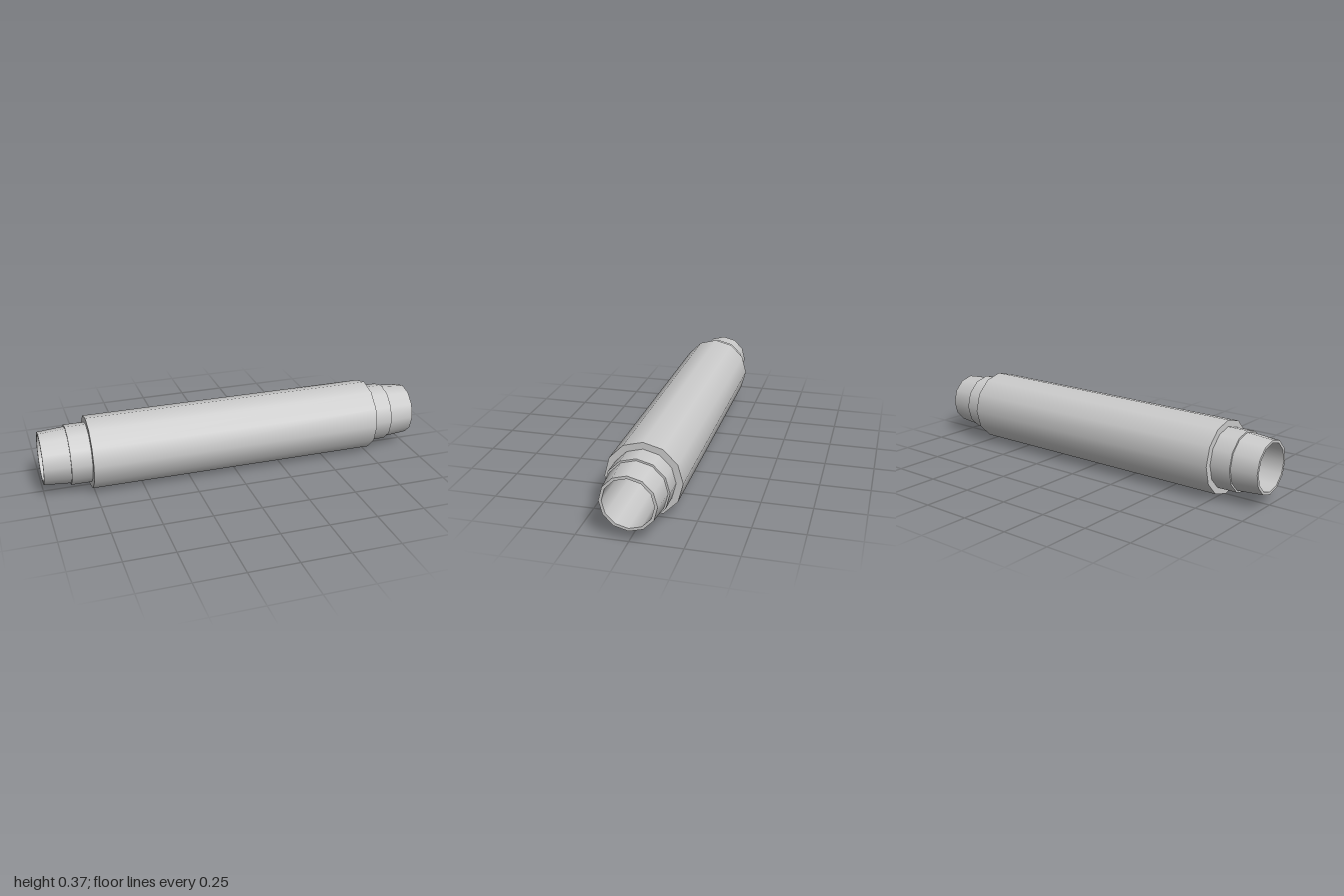
import * as THREE from 'three';
import { mergeGeometries } from 'three/addons/utils/BufferGeometryUtils.js';

const SIDES = 12;
const BODY_R = 0.186, COLLAR_R = 0.153, NECK_R = 0.144, TIP_R = 0.134, BORE_R = 0.12;
const BODY_X = 0.762, COLLAR_X = 0.866, TIP_X = 1;

const material = new THREE.MeshStandardMaterial({ color: 0xcccccc });

// Revolves a profile of [x, radius] points about the x axis: smooth around, sharp at each step
function turned(name, profile) {
  const bands = [];
  for (let i = 0; i < profile.length - 1; i++) {
    const pts = [profile[i], profile[i + 1]].map(([x, r]) => new THREE.Vector2(r, x));
    bands.push(new THREE.LatheGeometry(pts, SIDES));
  }
  const mesh = new THREE.Mesh(mergeGeometries(bands).rotateZ(-Math.PI / 2), material);
  mesh.name = name;
  return mesh;
}

// The same profile at the opposite end, reversed so that it still faces outward
const mirrored = (profile) => profile.map(([x, r]) => [-x, r]).reverse();

export function createModel() {
  const group = new THREE.Group();
  group.name = 'steppedTube';

  // Thick sleeve with its two end shoulders
  group.add(turned('sleeve', [
    [-BODY_X, COLLAR_R], [-BODY_X, BODY_R], [BODY_X, BODY_R], [BODY_X, COLLAR_R],
  ]));

  // Collar and tapered nozzle at each end
  const collar = [[BODY_X, COLLAR_R], [COLLAR_X, COLLAR_R], [COLLAR_X, NECK_R]];
  const nozzle = [[COLLAR_X, NECK_R], [TIP_X, TIP_R], [TIP_X, BORE_R]];
  group.add(turned('leftCollar', collar), turned('rightCollar', mirrored(collar)));
  group.add(turned('leftNozzle', nozzle), turned('rightNozzle', mirrored(nozzle)));

  // Straight bore through the whole length
  group.add(turned('bore', [[TIP_X, BORE_R], [-TIP_X, BORE_R]]));

  group.position.y = BODY_R;
  return group;
}
